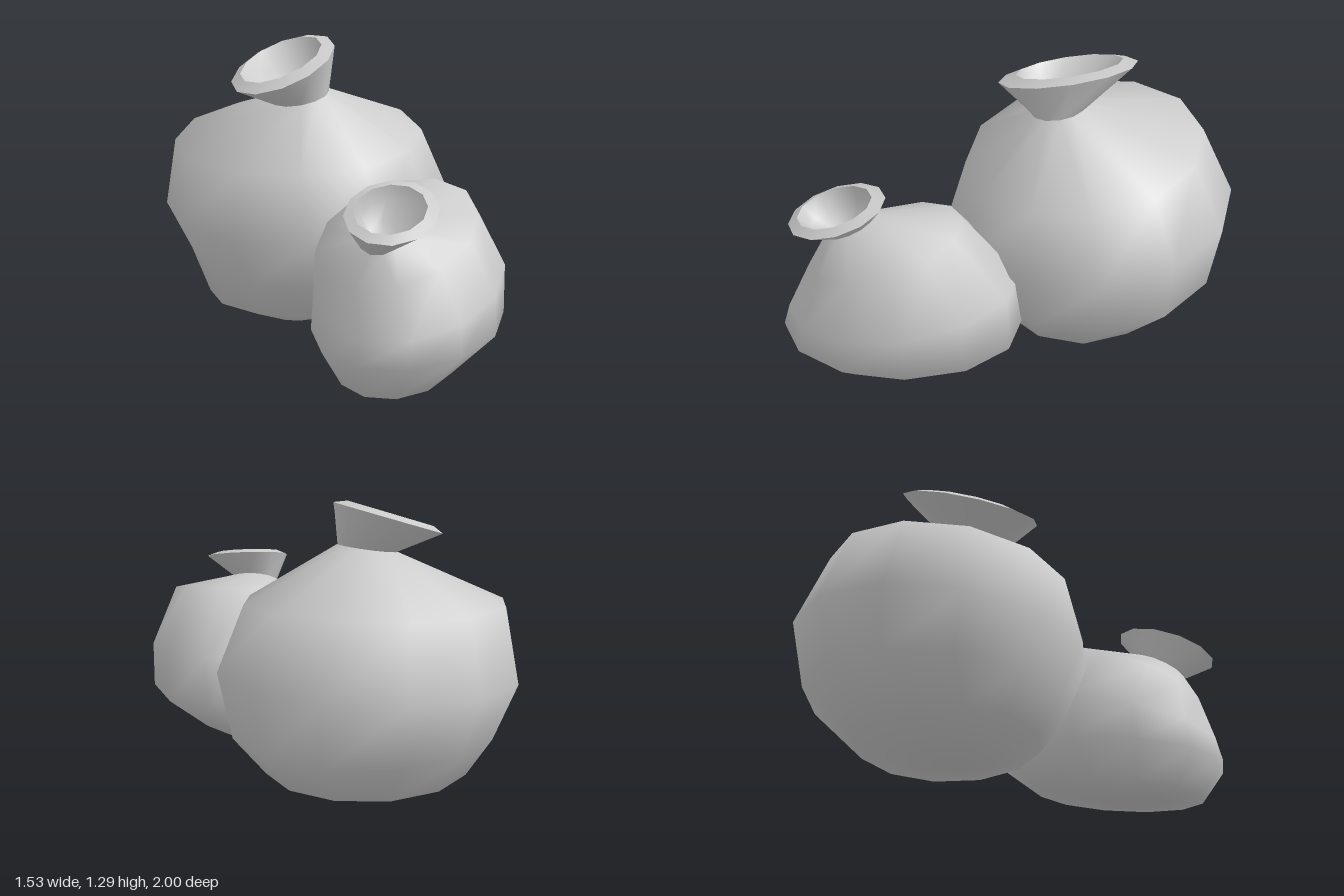
import * as THREE from 'three';

const SIDES = 12;

// A ring is [cx, cy, cz, rx, rz, slopeX, slopeZ]: a tilted twelve-sided ellipse.
// phase turns the corners, skew pushes one side forward and the other back.
const ringPoint = ([cx, cy, cz, rx, rz, sx = 0, sz = 0], i, { phase, skew }) => {
  const a = (i / SIDES) * Math.PI * 2 + phase;
  const dx = rx * Math.cos(a), dz = rz * Math.sin(a) + skew * dx;
  return [cx + dx, cy + sx * dx + sz * dz, cz + dz];
};

// Smooth skin through rings, faces outward when the rings go upward
function skin(name, rings, form, material) {
  const position = [], index = [];
  rings.forEach((ring, r) => {
    for (let i = 0; i < SIDES; i++) {
      position.push(...ringPoint(ring, i, form));
      if (r === rings.length - 1) continue;
      const j = (i + 1) % SIDES;
      const a = r * SIDES + i, b = r * SIDES + j;
      index.push(a, a + SIDES, b, b, a + SIDES, b + SIDES);
    }
  });
  const geometry = new THREE.BufferGeometry();
  geometry.setAttribute('position', new THREE.Float32BufferAttribute(position, 3));
  geometry.setIndex(index);
  geometry.computeVertexNormals();
  const mesh = new THREE.Mesh(geometry, material);
  mesh.name = name;
  return mesh;
}

const shrink = ([x, y, z, rx, rz, sx, sz], k) => [x, y, z, rx * k, rz * k, sx, sz];
const point = ([x, y, z]) => [x, y, z, 0, 0];
const between = (ringA, ringB) => ringA.map((v, k) => (v + ringB[k]) / 2);

// body: rings from the base up to the neck; rim and mouth: outer and inner lip
function createPot(name, { form, body, rim, mouth }, material) {
  const pot = new THREE.Group();
  pot.name = name;
  const neck = body[body.length - 1];
  pot.add(
    skin('body', [point(body[0]), ...body], form, material),
    skin('flaredNeck', [neck, rim], form, material),
    skin('lip', [rim, mouth], form, material),
    skin('bowlInside', [mouth, between(mouth, neck), shrink(neck, 0.6), point(neck)], form, material)
  );
  return pot;
}

export function createModel() {
  const model = new THREE.Group();
  model.name = 'twoPots';
  const clay = new THREE.MeshStandardMaterial({ color: 0xcccccc });

  // Large round pot at the back
  model.add(createPot('largePot', {
    form: { phase: -0.06, skew: 0 },
    body: [
      [-0.14, 0.013, -0.27, 0.14, 0.15, 0.06, 0],
      [-0.12, 0.1, -0.32, 0.45, 0.4],
      [-0.09, 0.3, -0.38, 0.57, 0.57, 0, -0.06],
      [-0.115, 0.56, -0.36, 0.655, 0.645, 0.05, -0.1],
      [-0.15, 0.855, -0.33, 0.57, 0.53, 0.03, -0.14],
      [-0.135, 1.06, -0.21, 0.13, 0.12, 0.17, -0.17],
    ],
    rim: [-0.215, 1.2, -0.25, 0.235, 0.305, 0.33, -0.19],
    mouth: [-0.225, 1.22, -0.255, 0.185, 0.235, 0.34, -0.19],
  }, clay));

  // Small pot in front, its neck leaning forward
  model.add(createPot('smallPot', {
    form: { phase: 0, skew: -0.1 },
    body: [
      [0.24, 0.01, 0.55, 0.1, 0.15, 0.03, 0],
      [0.3, 0.06, 0.5, 0.26, 0.38, 0.07, -0.05],
      [0.35, 0.23, 0.465, 0.41, 0.53, 0.07, -0.04],
      [0.355, 0.42, 0.455, 0.405, 0.51, 0.1, -0.2],
      [0.3, 0.64, 0.53, 0.34, 0.34, 0.18, -0.38],
      [0.24, 0.68, 0.69, 0.1, 0.11, 0.15, -0.5],
    ],
    rim: [0.275, 0.785, 0.735, 0.195, 0.215, 0.02, -0.35],
    mouth: [0.27, 0.8, 0.745, 0.15, 0.165, 0.02, -0.35],
  }, clay));

  return model;
}
